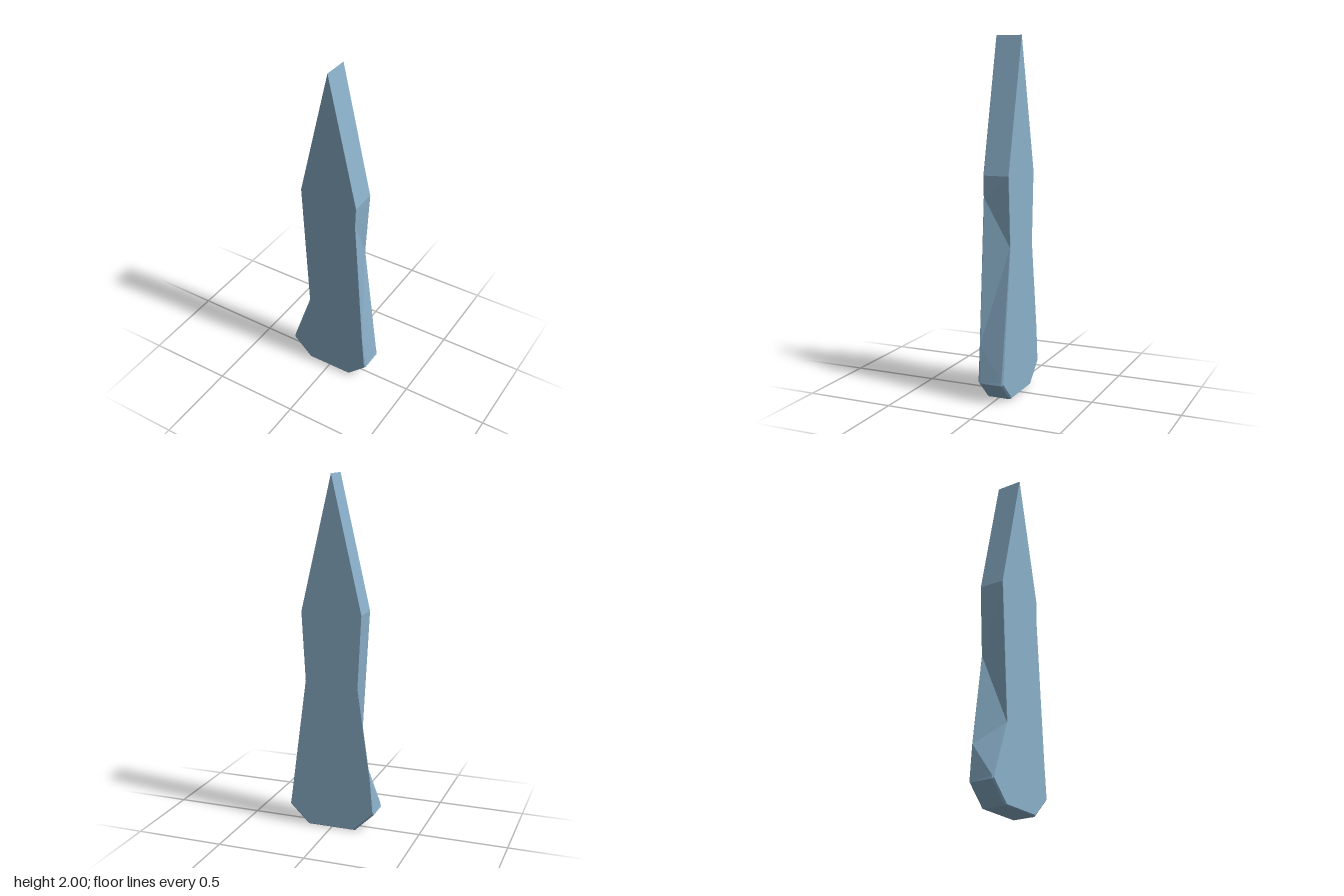
import * as THREE from 'three';

// Outlines run clockwise from the tip: down the +x edge, along the base, up the -x edge.
// Front and back share their count, but the waists sit at different heights.
const FRONT = [
  [0, 2], [0.175, 1.25], [0.171, 1.13], [0.23, 0.32], [0.254, 0.11], [0.14, 0],
  [-0.14, 0], [-0.254, 0.11], [-0.25, 0.13], [-0.13, 0.44], [-0.175, 1.25],
];
const BACK = [
  [0, 2], [0.175, 1.25], [0.152, 0.86], [0.25, 0.13], [0.254, 0.11], [0.14, 0],
  [-0.14, 0], [-0.254, 0.11], [-0.23, 0.32], [-0.155, 0.84], [-0.175, 1.25],
];
const HALF = 0.075;

// The bevel is wider around the base than along the blade
const bevel = (y) => (y < 0.2 ? 0.01 : 0.002);

function outerRing(outline, side) {
  return outline.map(([x, y]) => [x, y, side * (HALF - bevel(y))]);
}

function faceRing(outline, side) {
  return outline.map(([x, y]) => {
    const b = bevel(y) * 0.7;
    return [x - Math.sign(x) * b, y < 0.2 ? y + b : y, side * HALF];
  });
}

function meshFrom(name, triangles, material) {
  const geometry = new THREE.BufferGeometry();
  geometry.setAttribute('position', new THREE.Float32BufferAttribute(triangles.flat(2), 3));
  geometry.computeVertexNormals();
  const mesh = new THREE.Mesh(geometry, material);
  mesh.name = name;
  return mesh;
}

// Outward-facing band of triangles between two rings, a nearer the front than b
function band(a, b) {
  return a.flatMap((p, i) => {
    const j = (i + 1) % a.length;
    return [[p, a[j], b[i]], [a[j], b[j], b[i]]];
  });
}

// Flat face filling a ring, wound to look along side * z
function cap(ring, side) {
  const points = ring.map(([x, y]) => new THREE.Vector2(x, y));
  return THREE.ShapeUtils.triangulateShape(points, []).map(([i, j, k]) => {
    const [p, q, r] = [ring[i], ring[j], ring[k]];
    const area = (q[0] - p[0]) * (r[1] - p[1]) - (q[1] - p[1]) * (r[0] - p[0]);
    return area * side > 0 ? [p, q, r] : [p, r, q];
  });
}

export function createModel() {
  const steel = new THREE.MeshStandardMaterial({ color: 0x8ab0ca, flatShading: true });
  steel.name = 'blue steel';

  const frontFace = faceRing(FRONT, 1);
  const frontEdge = outerRing(FRONT, 1);
  const backEdge = outerRing(BACK, -1);
  const backFace = faceRing(BACK, -1);

  const blade = new THREE.Group();
  blade.name = 'blade';
  blade.add(
    meshFrom('frontFace', cap(frontFace, 1), steel),
    meshFrom('frontBevel', band(frontFace, frontEdge), steel),
    meshFrom('sides', band(frontEdge, backEdge), steel),
    meshFrom('backBevel', band(backEdge, backFace), steel),
    meshFrom('backFace', cap(backFace, -1), steel),
  );
  return blade;
}
